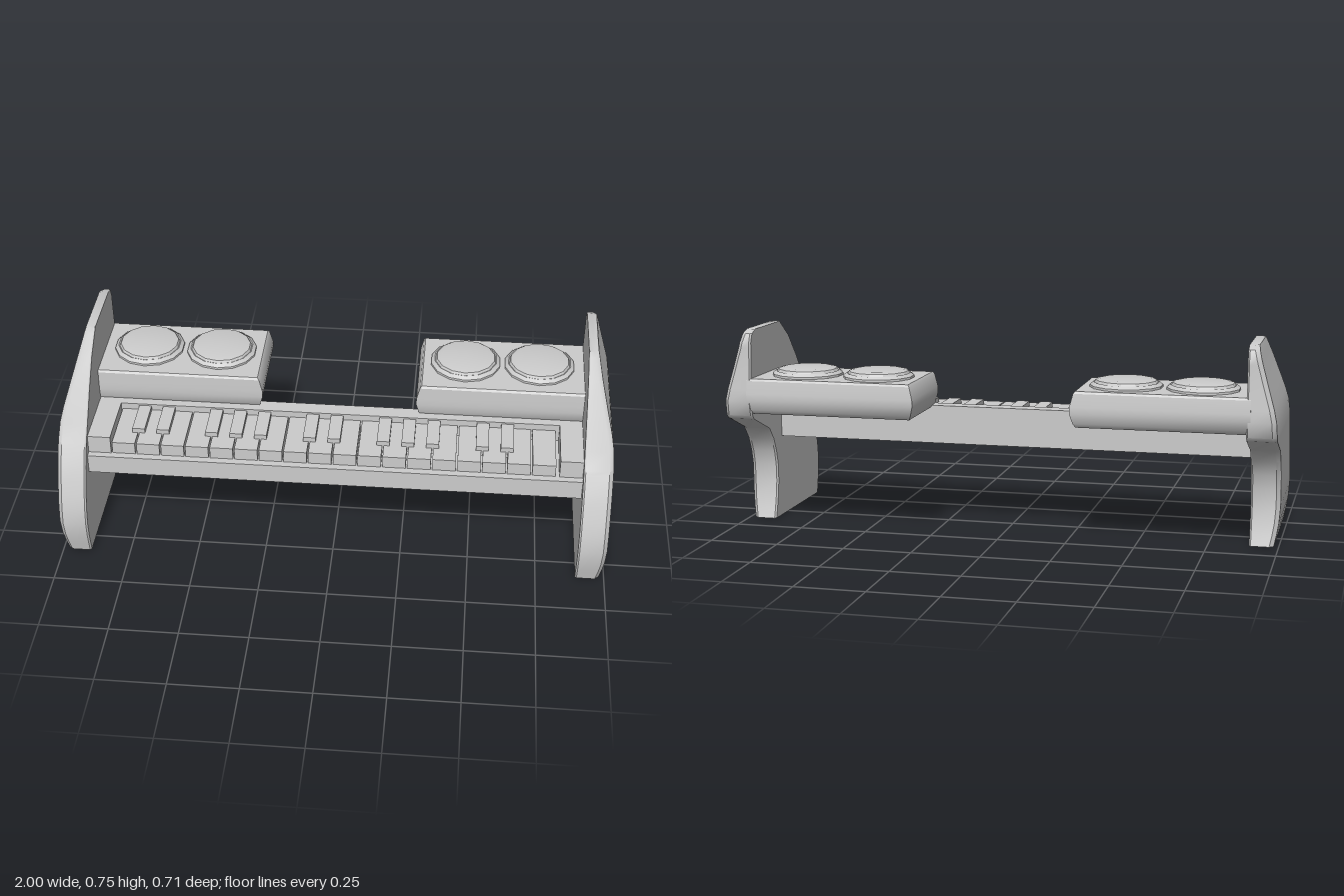
import * as THREE from 'three';
import { toCreasedNormals } from 'three/addons/utils/BufferGeometryUtils.js';

const material = new THREE.MeshStandardMaterial({ color: 0xcccccc });

function add(parent, name, geometry, x = 0, y = 0, z = 0) {
  const mesh = new THREE.Mesh(geometry, material);
  mesh.name = name;
  mesh.position.set(x, y, z);
  parent.add(mesh);
  return mesh;
}

// Box given by its min and max corners
function block(parent, name, [x0, y0, z0], [x1, y1, z1]) {
  return add(parent, name, new THREE.BoxGeometry(x1 - x0, y1 - y0, z1 - z0),
    (x0 + x1) / 2, (y0 + y1) / 2, (z0 + z1) / 2);
}

// Skin over convex horizontal rings (bottom to top), capped, mirrored for side = -1
function loft(rings, side, crease) {
  const rows = rings.map((ring) => {
    const pts = ring.map(([x, y, z]) => [side * x, y, z]);
    return side < 0 ? pts.reverse() : pts;
  });
  const n = rows[0].length, top = rows.length - 1, index = [];
  for (let i = 0; i < top; i++) {
    for (let j = 0; j < n; j++) {
      const k = (j + 1) % n, a = i * n + j, b = i * n + k, c = b + n, d = a + n;
      index.push(a, b, c, a, c, d);
    }
  }
  for (let j = 1; j < n - 1; j++) {
    index.push(0, j + 1, j, top * n, top * n + j, top * n + j + 1);
  }
  const geometry = new THREE.BufferGeometry();
  geometry.setAttribute('position', new THREE.Float32BufferAttribute(rows.flat(2), 3));
  geometry.setIndex(index);
  return toCreasedNormals(geometry, crease);
}

// Curved end panel: [height, front z, back z, outer x]
const panelRows = [
  [0, 0.333, -0.133, 0.982], [0.04, 0.342, -0.12, 0.99], [0.08, 0.35, -0.11, 0.996],
  [0.14, 0.355, -0.1, 1], [0.205, 0.346, -0.102, 1], [0.257, 0.331, -0.115, 1],
  [0.31, 0.312, -0.14, 1], [0.357, 0.293, -0.18, 1], [0.418, 0.26, -0.328, 1],
  [0.432, 0.252, -0.34, 1], [0.487, 0.21, -0.353, 0.997], [0.53, 0.176, -0.35, 0.988],
  [0.59, 0.13, -0.345, 0.971], [0.68, 0.05, -0.34, 0.946], [0.7, 0.022, -0.34, 0.941],
  [0.732, -0.022, -0.326, 0.933], [0.745, -0.04, -0.293, 0.929],
];
function panelGeometry(side) {
  const b = 0.015, inner = 0.895, s = 0.006;
  return loft(panelRows.map(([y, f, k, x]) => [
    [x - b, y, f], [x, y, f - b], [x, y, k + b], [x - b, y, k],
    [inner + s, y, k], [inner, y, k + s], [inner, y, f - s], [inner + s, y, f],
  ]), side, 0.7);
}

// Raised pod: [height, inner end x, front z, back z]
const podRows = [
  [0.44, 0.302, -0.03, -0.33], [0.455, 0.294, -0.02, -0.343], [0.49, 0.284, -0.016, -0.354],
  [0.515, 0.284, -0.016, -0.354], [0.562, 0.296, -0.018, -0.348], [0.57, 0.302, -0.024, -0.342],
];
function podGeometry(side) {
  return loft(podRows.map(([y, x, f, k]) => [
    [0.91, y, f], [0.91, y, k], [x, y, k], [x, y, f],
  ]), side, 0.5);
}

// Round pad with a stepped rim
function padGeometry() {
  const profile = [[0.13, 0], [0.13, 0.008], [0.117, 0.018], [0.113, 0.016],
    [0.108, 0.025], [0.09, 0.029], [0, 0.031]];
  const points = profile.map(([r, y]) => new THREE.Vector2(r, y));
  return toCreasedNormals(new THREE.LatheGeometry(points, 14), 0.3);
}

export function createModel() {
  const model = new THREE.Group();
  model.name = 'keyboardStand';

  // End panels and pods with two pads each
  for (const side of [1, -1]) {
    const name = side > 0 ? 'left' : 'right';
    add(model, name + 'EndPanel', panelGeometry(side));
    add(model, name + 'Pod', podGeometry(side));
    for (const x of [0.457, 0.73]) {
      add(model, name + 'Pad', padGeometry(), side * x, 0.57, -0.193);
    }
  }

  // Keyboard body
  const keyboard = new THREE.Group();
  keyboard.name = 'keyboard';
  model.add(keyboard);
  block(keyboard, 'keyBed', [-0.9, 0.305, -0.05], [0.9, 0.378, 0.25]);
  block(keyboard, 'backRail', [-0.9, 0.378, -0.05], [0.9, 0.447, 0.008]);
  for (const x of [-0.855, 0.855]) {
    block(keyboard, 'endBlock', [x - 0.043, 0.378, 0.008], [x + 0.043, 0.447, 0.225]);
  }

  // White keys with thin gaps, black keys on the boundaries of each octave
  const first = -0.81, pitch = 0.0895, gap = 0.003;
  for (let i = 0; i < 18; i++) {
    const x = first + i * pitch;
    block(keyboard, 'whiteKey', [x + gap, 0.378, 0.01], [x + pitch - gap, 0.424, 0.223]);
    if ([1, 2, 4, 5, 6].includes(i % 7) && i < 17) {
      block(keyboard, 'blackKey', [x - 0.023, 0.4, 0.01], [x + 0.023, 0.442, 0.155]);
    }
  }
  return model;
}
